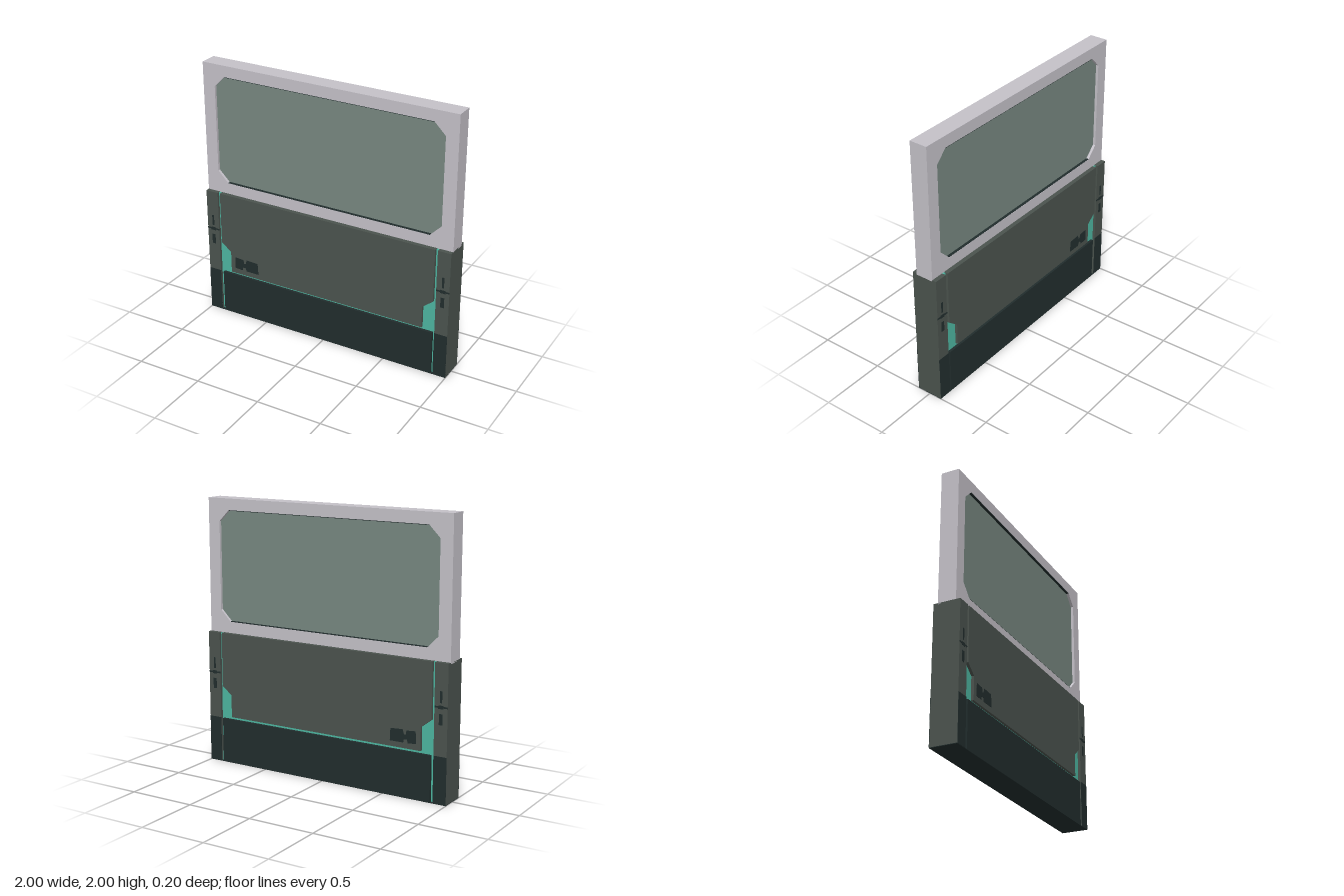
import * as THREE from 'three';

const mat = (name, color) => {
  const m = new THREE.MeshStandardMaterial({ color });
  m.name = name;
  return m;
};

export function createModel() {
  const group = new THREE.Group();
  const grey = mat('panelGrey', 0x4b534e);
  const dark = mat('baseDark', 0x212d2d);
  const teal = mat('accentTeal', 0x4db5a0);
  const pale = mat('framePale', 0xc4c1c8);
  const glass = mat('glassGreen', 0x778780);

  const add = (name, geo, material) => {
    const mesh = new THREE.Mesh(geo, material);
    mesh.name = name;
    group.add(mesh);
    return mesh;
  };
  // Box given by its limits on each axis
  const box = (name, m, x0, x1, y0, y1, z0, z1) => {
    const geo = new THREE.BoxGeometry(x1 - x0, y1 - y0, z1 - z0);
    geo.translate((x0 + x1) / 2, (y0 + y1) / 2, (z0 + z1) / 2);
    return add(name, geo, m);
  };
  const outline = (pts) => pts.map(([x, y]) => new THREE.Vector2(x, y));
  // Plate cut from an outline, centred on depth z
  const plate = (name, m, pts, z, depth, hole) => {
    const shape = new THREE.Shape(outline(pts));
    if (hole) shape.holes.push(new THREE.Path(outline(hole)));
    const geo = new THREE.ExtrudeGeometry(shape, { depth, bevelEnabled: false });
    geo.translate(0, 0, z - depth / 2);
    return add(name, geo, m);
  };

  // Lower body: floor, recessed core and end posts
  box('floor', dark, -1, 1, 0, 0.004, -0.1, 0.1);
  box('recessedCore', teal, -0.901, 0.901, 0.003, 0.998, -0.08, 0.08);
  for (const s of [-1, 1]) {
    box('endPost', grey, s * 0.95 - 0.05, s * 0.95 + 0.05, 0.004, 1, -0.1, 0.1);
  }

  // Upper window frame with chamfered opening, and its glass
  const opening = [
    [-0.905, 1.17], [-0.82, 1.085], [0.82, 1.085], [0.905, 1.17],
    [0.905, 1.83], [0.82, 1.915], [-0.82, 1.915], [-0.905, 1.83],
  ];
  plate('windowFrame', pale, [[-1, 0.99], [1, 0.99], [1, 2], [-1, 2]], 0, 0.135, opening);
  plate('windowGlass', glass, opening, 0, 0.095);

  const mainPanel = [
    [-0.80, 0.36], [0.80, 0.36], [0.80, 0.53], [0.88, 0.593],
    [0.88, 1], [-0.88, 1], [-0.88, 0.593], [-0.80, 0.53],
  ];
  // Painted patch: two blocks joined by a narrow bridge
  const patch = [
    [-0.765, 0.405], [-0.70, 0.40], [-0.695, 0.425], [-0.67, 0.425], [-0.665, 0.40],
    [-0.56, 0.40], [-0.56, 0.45], [-0.565, 0.49], [-0.66, 0.495], [-0.67, 0.46],
    [-0.685, 0.46], [-0.69, 0.49], [-0.76, 0.495], [-0.765, 0.45],
  ];

  // Both faces carry the same panels and markings
  for (const s of [-1, 1]) {
    const face = s * 0.1;
    plate('mainPanel', grey, mainPanel, s * 0.0825, 0.035);
    box('lowerPanel', dark, -0.877, 0.883, 0.004, 0.34, s * 0.085 - 0.015, s * 0.085 + 0.015);
    plate('panelPatch', dark, patch, face, 0.003);
    // Dark seals on the sills of the opening
    for (const y of [1.087, 1.913]) {
      box('windowSeal', dark, -0.82, 0.82, y - 0.002, y + 0.002, s * 0.056 - 0.01, s * 0.056 + 0.01);
    }
    for (const side of [-1, 1]) {
      const c = side * 0.95;
      const mark = (name, w, y0, y1, dx = 0) =>
        box(name, dark, c + dx - w / 2, c + dx + w / 2, y0, y1, face - 0.0015, face + 0.0015);
      mark('postBase', 0.1, 0.004, 0.345);
      mark('postBand', 0.1, 0.687, 0.699);
      mark('bandCentre', 0.04, 0.68, 0.705);
      mark('postSlot', 0.016, 0.722, 0.805);
      mark('postSpot', 0.028, 0.567, 0.645);
    }
  }
  return group;
}
